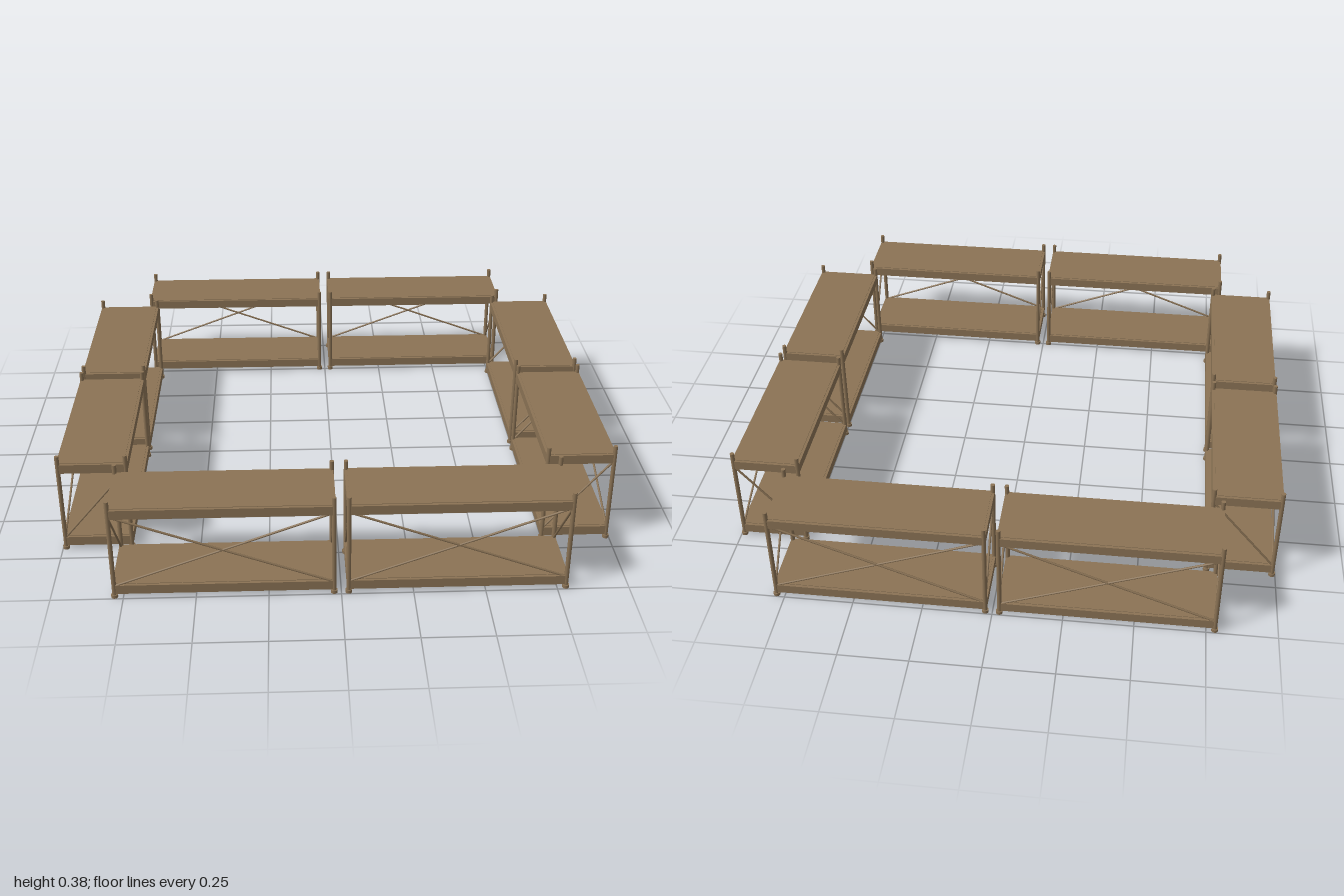
import * as THREE from 'three';

const wood = new THREE.MeshStandardMaterial({ color: 0x8b7355 });
const LOW = 0.045, HIGH = 0.325; // brace ends
const DEPTH = 0.238; // between inner and outer posts

function add(group, name, geometry, x, y, z) {
  const mesh = new THREE.Mesh(geometry, wood);
  mesh.name = name;
  mesh.position.set(x, y, z);
  group.add(mesh);
  return mesh;
}

// round bar between two points
function bar(group, name, a, b, radius) {
  const dir = b.clone().sub(a);
  const mid = a.clone().add(b).multiplyScalar(0.5);
  const mesh = add(group, name, new THREE.CylinderGeometry(radius, radius, dir.length(), 8), mid.x, mid.y, mid.z);
  mesh.quaternion.setFromUnitVectors(new THREE.Vector3(0, 1, 0), dir.normalize());
}

// One bay, centred on x and z, with its outer side towards +z
function createBay(length, outerTop) {
  const bay = new THREE.Group();
  bay.name = 'scaffoldBay';
  const hx = length / 2, hz = DEPTH / 2;
  const v = (x, y, z) => new THREE.Vector3(x, y, z);

  // corner posts with feet
  for (const x of [-hx, hx]) for (const z of [-hz, hz]) {
    add(bay, 'post', new THREE.CylinderGeometry(0.008, 0.008, 0.385, 10), x, 0.1925, z);
    add(bay, 'foot', new THREE.CylinderGeometry(0.012, 0.012, 0.012, 10), x, 0.006, z);
  }

  // two platforms: rim beams around a thin deck
  for (const top of [0.05, 0.352]) {
    for (const s of [-1, 1]) {
      add(bay, 'longBeam', new THREE.BoxGeometry(length, 0.034, 0.012), 0, top - 0.017, s * hz);
      add(bay, 'endBeam', new THREE.BoxGeometry(0.012, 0.034, DEPTH), s * hx, top - 0.017, 0);
    }
    add(bay, 'deck', new THREE.BoxGeometry(length - 0.008, 0.012, DEPTH - 0.008), 0, top - 0.004, 0);
  }

  // crossed braces on the outer side
  bar(bay, 'crossBrace', v(-hx, LOW, hz), v(hx, HIGH, hz), 0.004);
  bar(bay, 'crossBrace', v(-hx, HIGH, hz), v(hx, LOW, hz), 0.004);

  // one diagonal at each end
  const s = outerTop ? 1 : -1;
  for (const x of [-hx, hx]) {
    bar(bay, 'endBrace', v(x, LOW, -s * hz), v(x, HIGH, s * hz), 0.004);
  }
  return bay;
}

export function createModel() {
  const model = new THREE.Group();
  model.name = 'scaffoldRing';
  // name, turn, bay length, bay middle along the side, diagonal rises outwards
  const sides = [
    ['frontSide', 0, 0.755, 0.4025, true],
    ['leftSide', Math.PI / 2, 0.655, 0.3565, true],
    ['backSide', Math.PI, 0.755, 0.4025, false],
    ['rightSide', -Math.PI / 2, 0.655, 0.3565, false],
  ];
  for (const [name, turn, length, middle, outerTop] of sides) {
    const side = new THREE.Group();
    side.name = name;
    for (const s of [-1, 1]) {
      const bay = createBay(length, outerTop);
      bay.position.set(s * middle, 0, 0.869);
      side.add(bay);
    }
    side.rotation.y = turn;
    model.add(side);
  }
  return model;
}
